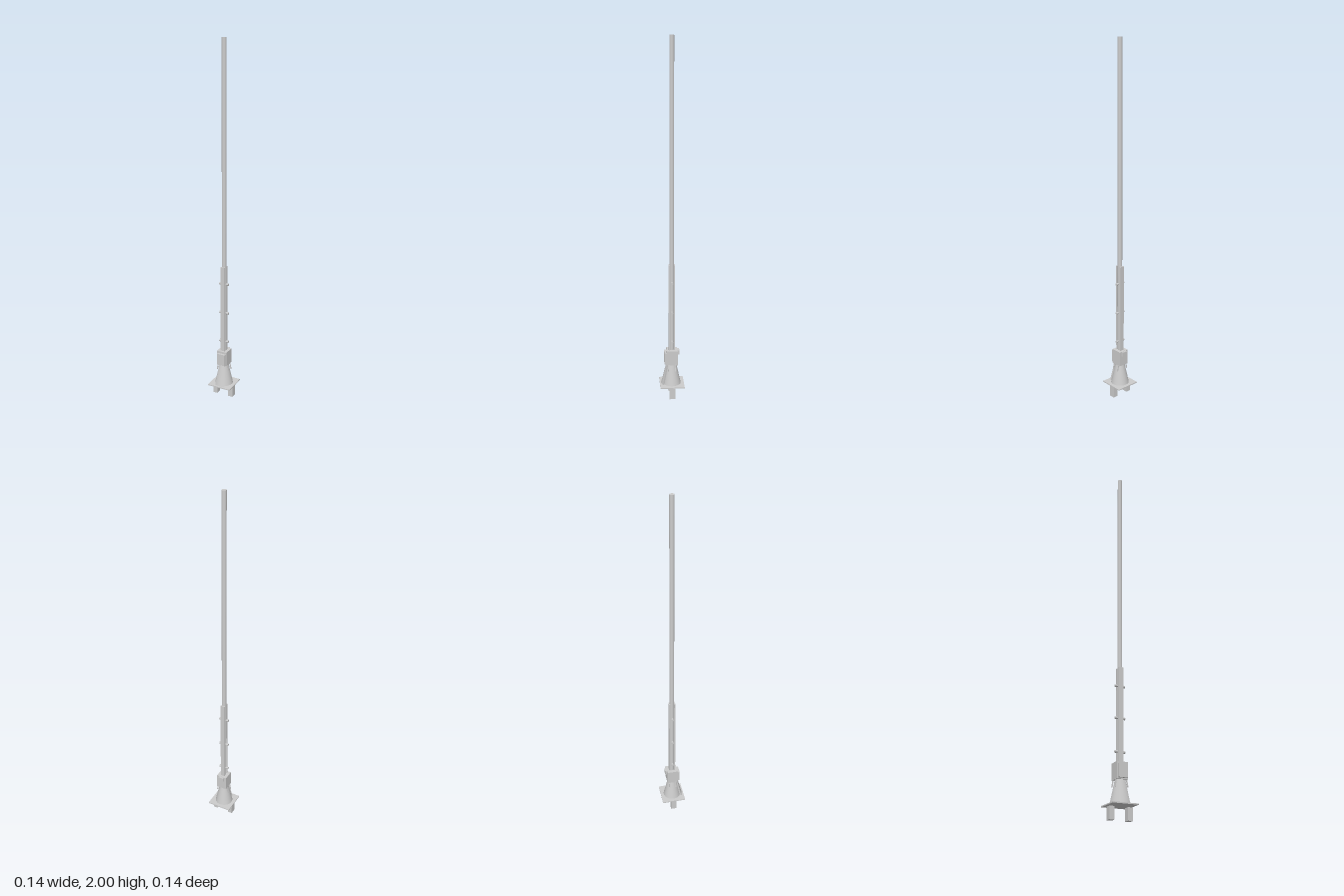
import * as THREE from 'three';

const grey = new THREE.MeshStandardMaterial({ color: 0xcccccc });

function add(parent, name, geometry, x = 0, y = 0, z = 0) {
  const mesh = new THREE.Mesh(geometry, grey);
  mesh.name = name;
  mesh.position.set(x, y, z);
  parent.add(mesh);
  return mesh;
}

const box = (w, h, d) => new THREE.BoxGeometry(w, h, d);

export function createModel() {
  const model = new THREE.Group();
  model.name = 'barrierBoom';

  // Two feet under a square base plate
  for (const s of [-1, 1]) add(model, 'foot', box(0.027, 0.064, 0.034), s * 0.049, 0.032, 0);
  add(model, 'basePlate', box(0.138, 0.006, 0.138), 0, 0.072, 0);

  // Conical pedestal with a curved access cover on its front
  add(model, 'pedestal', new THREE.CylinderGeometry(0.025, 0.051, 0.12, 40), 0, 0.135, 0);
  const coverProfile = [[0.045, 0.075], [0.061, 0.075], [0.033, 0.192], [0.022, 0.192], [0.045, 0.075]]
    .map(([r, y]) => new THREE.Vector2(r, y));
  const arc = Math.PI / 3;
  const cover = new THREE.LatheGeometry(coverProfile, 12, -arc / 2, arc).toNonIndexed();
  cover.computeVertexNormals();
  add(model, 'accessCover', cover);
  // Flat side edges of the cover
  for (const s of [-1, 1]) {
    const edge = new THREE.Mesh(new THREE.ShapeGeometry(new THREE.Shape(coverProfile)),
      new THREE.MeshStandardMaterial({ color: 0xcccccc, side: THREE.DoubleSide }));
    edge.name = 'coverEdge';
    edge.rotation.y = -Math.PI / 2 + s * arc / 2;
    model.add(edge);
  }

  // Small braces holding the housing to the pedestal
  for (const sx of [-1, 1]) {
    for (const sz of [-1, 1]) {
      const brace = add(model, 'brace', box(0.006, 0.04, 0.004), sx * 0.031, 0.178, sz * 0.018);
      brace.rotation.z = sx * 0.2;
    }
  }

  // Drive housing with front panel and rear latch
  add(model, 'housing', box(0.06, 0.086, 0.062), 0, 0.237, -0.001);
  add(model, 'frontPanel', box(0.05, 0.068, 0.014), 0, 0.234, 0.036);
  add(model, 'rearLatch', box(0.03, 0.026, 0.012), 0, 0.266, -0.037);

  // Raised boom, in equal lengths
  const joint = 0.174;
  for (let i = 0; i < 10; i++) {
    const low = Math.max(0.27, 2 - (i + 1) * joint);
    const high = 2 - i * joint;
    add(model, 'boomSection', new THREE.CylinderGeometry(0.0125, 0.0125, high - low, 24), 0, (low + high) / 2, 0);
  }

  // Clamp plates around the foot of the boom
  for (const s of [-1, 1]) add(model, 'clampPlate', box(0.025, 0.506, 0.007), 0, 0.532, s * 0.0145);

  // Clamp bolts with heads at both ends
  for (const y of [0.335, 0.51, 0.683]) {
    const bolt = new THREE.Group();
    bolt.name = 'clampBolt';
    bolt.position.y = y;
    bolt.rotation.z = Math.PI / 2;
    add(bolt, 'boltShaft', new THREE.CylinderGeometry(0.005, 0.005, 0.05, 12));
    for (const s of [-1, 1]) add(bolt, 'boltHead', new THREE.CylinderGeometry(0.007, 0.007, 0.009, 12), 0, s * 0.0235, 0);
    model.add(bolt);
  }

  return model;
}
